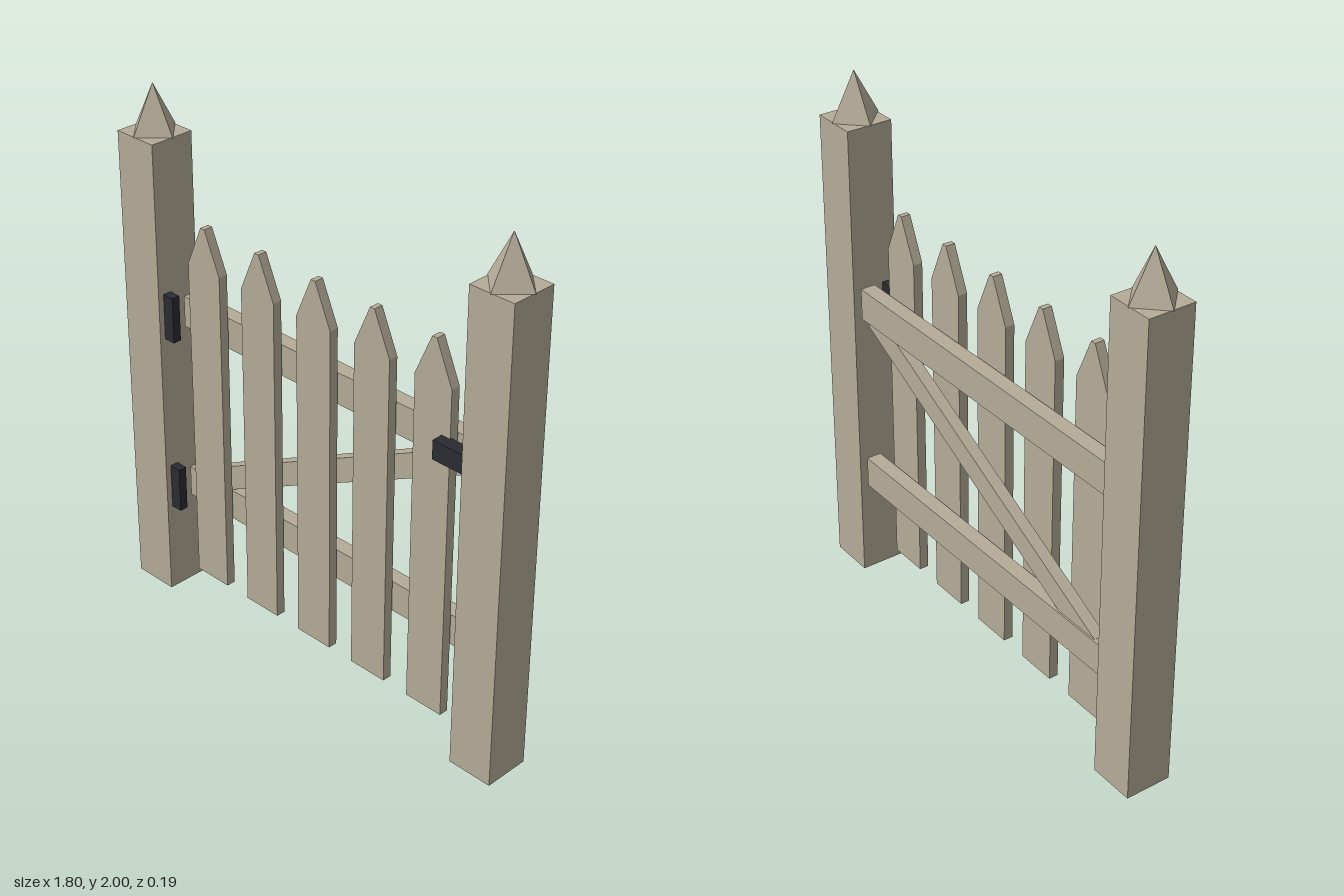
import * as THREE from 'three';

export function createModel() {
  const gate = new THREE.Group();
  gate.name = 'picketGate';

  const wood = new THREE.MeshStandardMaterial({ color: 0xb5ac97 });
  wood.name = 'weatheredWood';
  const iron = new THREE.MeshStandardMaterial({ color: 0x2b2b33 });
  iron.name = 'darkIron';
  wood.flatShading = true;

  const add = (name, geometry, material, x, y, z) => {
    const mesh = new THREE.Mesh(geometry, material);
    mesh.name = name;
    mesh.position.set(x, y, z);
    gate.add(mesh);
    return mesh;
  };
  const box = (w, h, d) => new THREE.BoxGeometry(w, h, d);

  // Square posts with four-sided pointed caps, corners on the axes
  const postHeight = 1.825;
  for (const [side, x] of [['right', -0.803], ['left', 0.803]]) {
    add(side + 'Post', box(0.178, postHeight, 0.178), wood, x, postHeight / 2, 0);
    add(side + 'PostCap', new THREE.ConeGeometry(0.095, 0.175, 4), wood, x, postHeight + 0.0875, 0);
  }

  // Pickets with blunt pointed tops
  const outline = new THREE.Shape([
    [-0.079, 0.111], [0.079, 0.111], [0.079, 1.397],
    [0.01, 1.555], [-0.01, 1.555], [-0.079, 1.397],
  ].map(([x, y]) => new THREE.Vector2(x, y)));
  const picket = new THREE.ExtrudeGeometry(outline, { depth: 0.036, bevelEnabled: false });
  for (let i = -2; i <= 2; i++) add('picket' + (i + 3), picket, wood, i * 0.2675, 0, -0.003);

  // Rails and diagonal brace behind the pickets
  add('lowerRail', box(1.39, 0.121, 0.058), wood, 0, 0.448, -0.041);
  add('upperRail', box(1.39, 0.121, 0.058), wood, 0, 1.161, -0.041);
  add('brace', box(1.44, 0.089, 0.045), wood, 0, 0.797, -0.041).rotation.z = THREE.MathUtils.degToRad(27);

  // Hinges and latch
  add('lowerHinge', box(0.046, 0.178, 0.033), iron, -0.691, 0.45, 0.05);
  add('upperHinge', box(0.046, 0.178, 0.033), iron, -0.691, 1.161, 0.05);
  add('latch', box(0.125, 0.072, 0.05), iron, 0.64, 1.182, 0.05);

  return gate;
}
